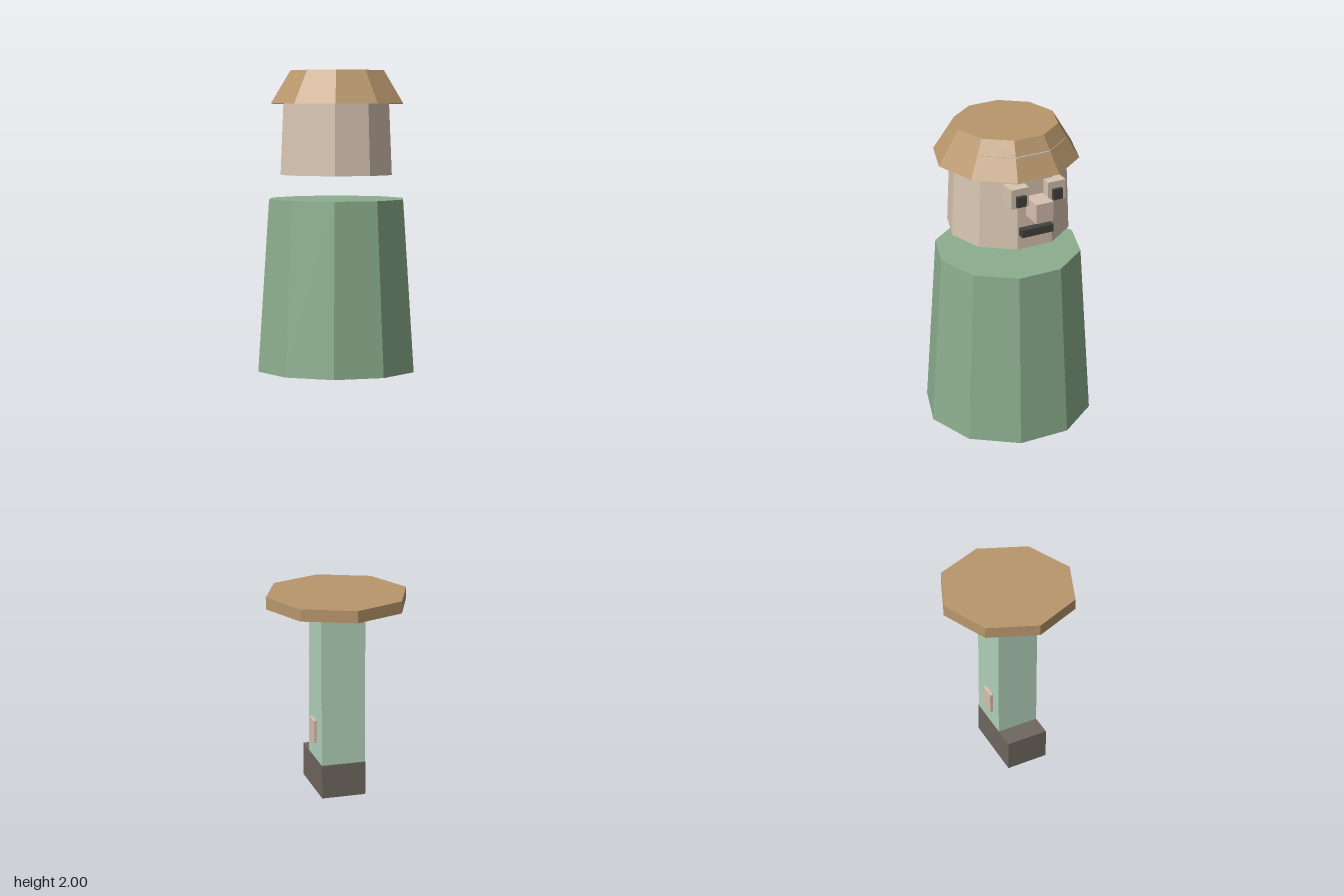
import * as THREE from 'three';

const flat = (name, color) => {
  const m = new THREE.MeshStandardMaterial({ color, flatShading: true });
  m.name = name;
  return m;
};

export function createModel() {
  const model = new THREE.Group();
  model.name = 'floatingFigure';

  const hatTan = flat('hatTan', 0xb8966c);
  const coatGreen = flat('coatGreen', 0x8cae8e);
  const paleGreen = flat('paleGreen', 0xb2d3ba);
  const skin = flat('skin', 0xd8c5b2);
  const pinkSkin = flat('pinkSkin', 0xd9c0b2);
  const bootGrey = flat('bootGrey', 0x6f675f);
  const dark = flat('dark', 0x45433f);

  const add = (name, geometry, material) => {
    const mesh = new THREE.Mesh(geometry, material);
    mesh.name = name;
    model.add(mesh);
    return mesh;
  };
  // Faceted drum from y0 to y1 with a corner on the x axis
  const drum = (name, sides, r0, r1, y0, y1, z, material) =>
    add(name, new THREE.CylinderGeometry(r1, r0, y1 - y0, sides).rotateY(Math.PI / 2), material)
      .position.set(0, (y0 + y1) / 2, z);
  // Box given by its extents
  const box = (name, [x0, x1], [y0, y1], [z0, z1], material) =>
    add(name, new THREE.BoxGeometry(x1 - x0, y1 - y0, z1 - z0), material)
      .position.set((x0 + x1) / 2, (y0 + y1) / 2, (z0 + z1) / 2);

  // Foot, post and round plate
  box('foot', [-0.063, 0.063], [0, 0.095], [-0.129, 0.072], bootGrey);
  box('post', [-0.063, 0.063], [0.095, 0.54], [-0.066, 0.068], paleGreen);
  drum('plate', 8, 0.204, 0.204, 0.54, 0.574, 0, hatTan);

  // Floating body, head and hat
  drum('body', 10, 0.22, 0.187, 1.204, 1.664, 0, coatGreen);
  drum('head', 10, 0.155, 0.144, 1.728, 1.966, 0, skin);
  drum('hat', 10, 0.183, 0.129, 1.914, 2, 0.009, hatTan);

  // Face, on the -z side
  box('nose', [-0.023, 0.023], [1.813, 1.863], [-0.198, -0.13], pinkSkin);
  box('mouth', [-0.043, 0.043], [1.765, 1.785], [-0.164, -0.135], dark);

  // Paired details
  for (const s of [-1, 1]) {
    const span = (a, b) => (s > 0 ? [a, b] : [-b, -a]);
    const side = s > 0 ? 'left' : 'right';
    box(side + 'Eye', span(0.026, 0.074), [1.848, 1.898], [-0.165, -0.115], skin);
    box(side + 'Pupil', span(0.037, 0.062), [1.853, 1.88], [-0.174, -0.165], dark);
    box(side + 'PostTab', span(0.055, 0.072), [0.145, 0.21], [-0.028, 0.017], pinkSkin);
  }
  return model;
}
